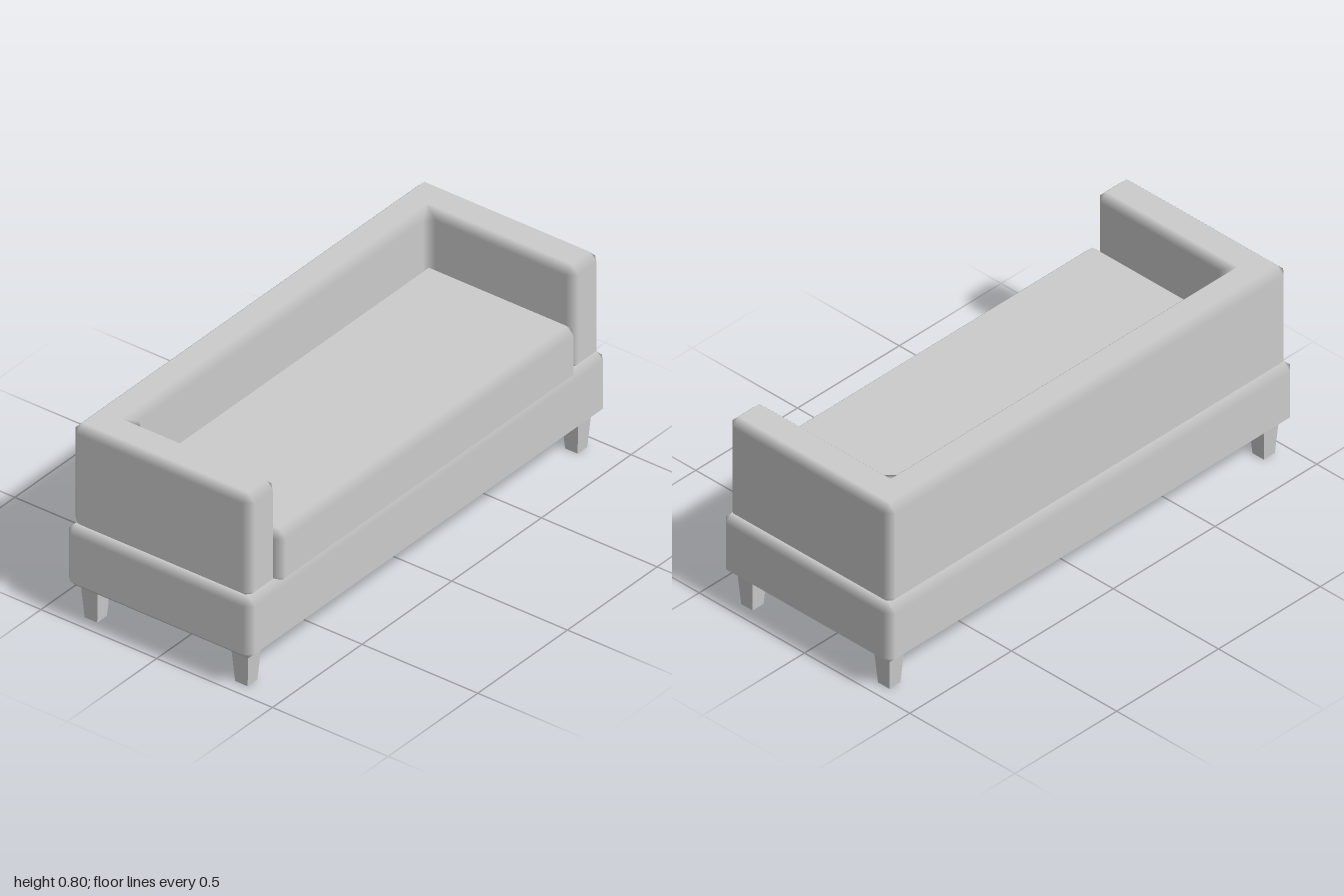
import * as THREE from 'three';

const material = new THREE.MeshStandardMaterial({ color: 0xcccccc });

// Upright prism over an outline of [x, z] corners (anticlockwise from above),
// with every edge chamfered by c and softly shaded across the chamfers.
function chamferedPrism(outline, y0, y1, c) {
  const n = outline.length, pos = [], nor = [], index = [];
  const pts = outline.map(([x, z]) => new THREE.Vector2(x, z));
  const dir = pts.map((p, i) => pts[(i + 1) % n].clone().sub(p).normalize());
  const out = dir.map(d => new THREE.Vector2(-d.y, d.x));
  const add = (p, y, nx, ny, nz) => { pos.push(p.x, y, p.y); nor.push(nx, ny, nz); };
  const quad = (a, b, d, e) => index.push(a, b, d, a, d, e);
  const caps = [];

  pts.forEach((p, i) => {
    const h = (i + n - 1) % n, n1 = out[h], n2 = out[i];
    const before = p.clone().addScaledVector(dir[h], -c);
    const after = p.clone().addScaledVector(dir[i], c);
    const cap = p.clone().addScaledVector(n1, -c).addScaledVector(n2, -c);
    for (const y of [y0 + c, y1 - c]) {
      add(before, y, n1.x, 0, n1.y);
      add(after, y, n2.x, 0, n2.y);
    }
    add(cap, y0, 0, -1, 0);
    add(cap, y1, 0, 1, 0);
    caps.push(new THREE.Vector2(cap.x, -cap.y));
  });

  for (let i = 0; i < n; i++) {
    const a = 6 * i, b = 6 * ((i + 1) % n);
    quad(a + 1, b, b + 2, a + 3);            // side
    quad(a + 3, b + 2, b + 5, a + 5);        // top chamfer
    quad(a + 4, b + 4, b, a + 1);            // bottom chamfer
    quad(a, a + 1, a + 3, a + 2);            // corner chamfer
    index.push(a + 2, a + 3, a + 5, a + 4, a + 1, a);
  }
  for (const [i, j, k] of THREE.ShapeUtils.triangulateShape(caps, [])) {
    index.push(6 * i + 5, 6 * j + 5, 6 * k + 5, 6 * k + 4, 6 * j + 4, 6 * i + 4);
  }

  const g = new THREE.BufferGeometry();
  g.setAttribute('position', new THREE.Float32BufferAttribute(pos, 3));
  g.setAttribute('normal', new THREE.Float32BufferAttribute(nor, 3));
  g.setIndex(index);
  return g;
}

const rect = (x, zBack, zFront) => [[x, zFront], [x, zBack], [-x, zBack], [-x, zFront]];

export function createModel() {
  const sofa = new THREE.Group();
  sofa.name = 'sofa';
  const part = (name, geometry, mat = material) => {
    const mesh = new THREE.Mesh(geometry, mat);
    mesh.name = name;
    sofa.add(mesh);
    return mesh;
  };

  // Upholstered base
  part('base', chamferedPrism(rect(1, -0.403, 0.403), 0.135, 0.388, 0.03));

  // Arms and backrest in one U-shaped piece
  const X = 0.983, Z = 0.387, xIn = 0.822, zIn = -0.237;
  part('armsAndBack', chamferedPrism([
    [X, Z], [X, -Z], [-X, -Z], [-X, Z],
    [-xIn, Z], [-xIn, zIn], [xIn, zIn], [xIn, Z],
  ], 0.372, 0.795, 0.03));

  // Seat cushion
  part('seatCushion', chamferedPrism(rect(0.832, -0.25, 0.404), 0.36, 0.577, 0.03));

  // Tapered square legs
  const legMaterial = material.clone();
  legMaterial.flatShading = true;
  const leg = new THREE.CylinderGeometry(0.037 * Math.SQRT2, 0.027 * Math.SQRT2, 0.14, 4);
  leg.rotateY(Math.PI / 4);
  for (const sx of [1, -1]) {
    for (const sz of [1, -1]) {
      const name = (sz > 0 ? 'front' : 'back') + (sx > 0 ? 'Left' : 'Right') + 'Leg';
      part(name, leg, legMaterial).position.set(sx * 0.92, 0.07, sz * 0.325);
    }
  }
  return sofa;
}
